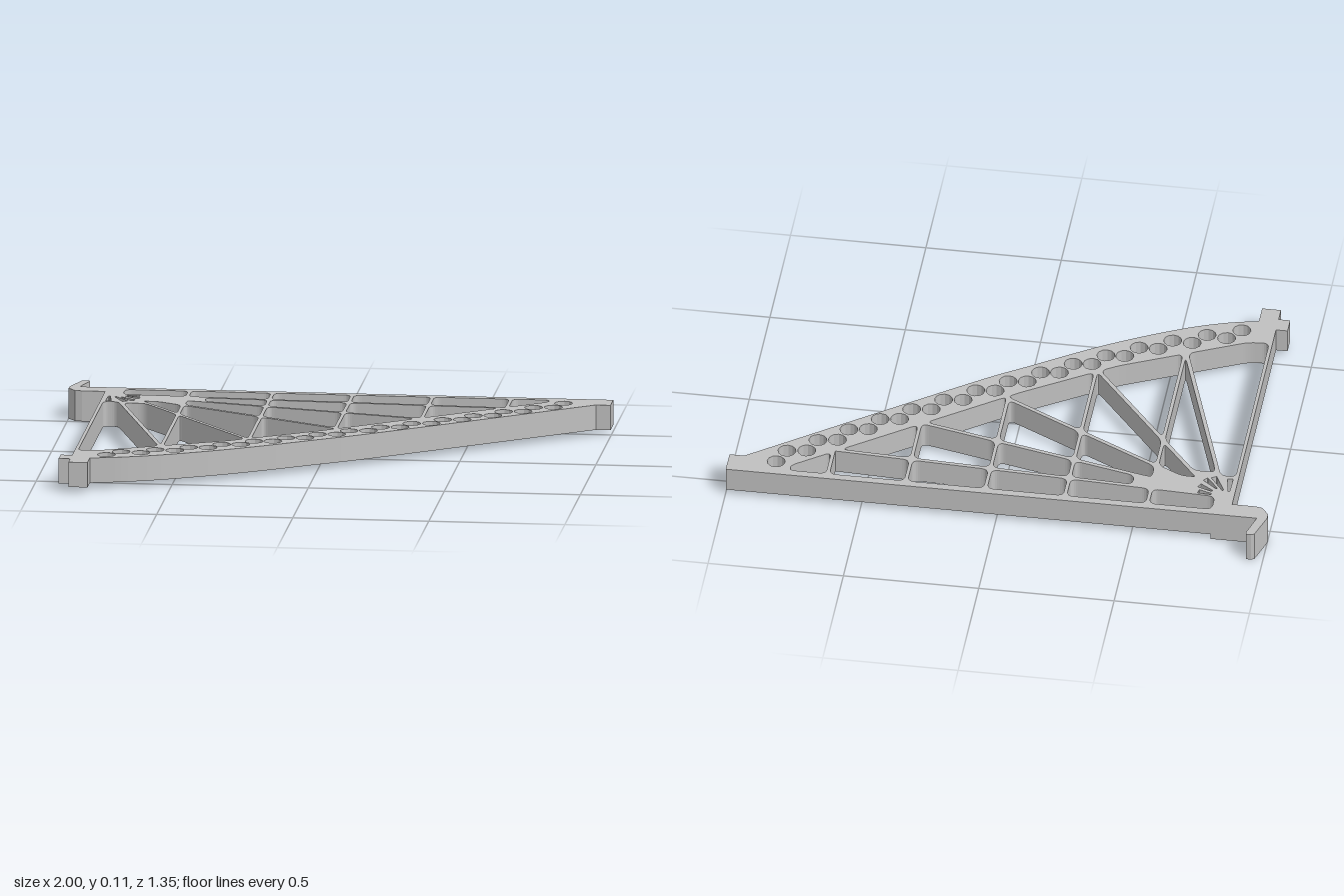
import * as THREE from 'three';

// The plan is drawn on a grid of 187.2 per unit (x right, z down); shape y = -z.
const UNIT = 187.2;
const pt = ([x, z]) => new THREE.Vector2((x - 1134.2) / UNIT, (224 - z) / UNIT);

// Closed hole, wound against the outline, with corners rounded by a setback of r grid units
function rounded(points, r) {
  const path = new THREE.Path();
  const v = points.map(pt).reverse();
  const n = v.length;
  v.forEach((p, i) => {
    const towards = (q) => p.clone().lerp(q, Math.min(r / UNIT / p.distanceTo(q), 0.42));
    const a = towards(v[(i + n - 1) % n]);
    const b = towards(v[(i + 1) % n]);
    if (i === 0) path.moveTo(a.x, a.y);
    else path.lineTo(a.x, a.y);
    path.quadraticCurveTo(p.x, p.y, b.x, b.y);
  });
  path.closePath();
  return path;
}

// Keep the part of a polygon lying beyond a line [x, z, slope] by a margin
function clip(points, [x0, z0, slope], side, margin) {
  const dist = ([x, z]) => side * (z - z0 - slope * (x - x0)) / Math.hypot(1, slope) - margin;
  const kept = [];
  points.forEach((p, i) => {
    const q = points[(i + 1) % points.length];
    const a = dist(p);
    const b = dist(q);
    if (a >= 0) kept.push(p);
    if (a * b < 0) kept.push(p.map((c, k) => c + (q[k] - c) * a / (a - b)));
  });
  return kept;
}

// Windows: columns between straight ribs, cut by the radiating ribs and the beam
function windowPolygons() {
  const columns = [970, 1030.5, 1087.5, 1142.5, 1197.5, 1251.5, 1279];
  const rays = [[990, 137.5, 0.044], [1044, 152.5, 0.235], [1032, 165, 0.535], [1030, 193, 1.27], [987, 160, 3.12]];
  const beam = [[1278, 127, -0.734], [1135, 232, -0.644], [1026, 294, -0.47], [990, 311, -0.1]];
  const rowStarts = [[986, 121.5], [1044, 121.5], [1032, 152], [1003, 156], [991, 163], [975.3, 160]];
  const result = [];
  rowStarts.forEach(([xMin, zMin], row) => {
    for (let c = 0; c < columns.length - 1; c++) {
      const x0 = Math.max(columns[c] + 1.2, xMin);
      const x1 = columns[c + 1] - 1.2;
      if (x0 >= x1) continue;
      let poly = [[x0, zMin], [x1, zMin], [x1, 330], [x0, 330]];
      if (row > 0) poly = clip(poly, rays[row - 1], 1, 1.4);
      if (row < rays.length) poly = clip(poly, rays[row], -1, 1.4);
      beam.forEach((line) => { poly = clip(poly, line, -1, 0); });
      if (poly.length > 2 && Math.abs(THREE.ShapeUtils.area(poly.map(pt))) > 0.001) result.push(poly);
    }
  });
  return result;
}

// Tapered strip running out from the hub: half widths w0 and w1
function spoke(degrees, r0, r1, w0, w1) {
  const a = THREE.MathUtils.degToRad(degrees);
  const at = (r, w) => [977 + r * Math.cos(a) - w * Math.sin(a), 136 + r * Math.sin(a) + w * Math.cos(a)];
  return [at(r0, -w0), at(r1, -w1), at(r1, w1), at(r0, w0)];
}

function slab(shape, bottom, top) {
  const geo = new THREE.ExtrudeGeometry(shape, { depth: top - bottom, bevelEnabled: false, curveSegments: 6 });
  geo.rotateX(-Math.PI / 2);
  geo.translate(0, bottom, 0);
  return geo;
}

export function createModel() {
  const group = new THREE.Group();
  const grey = new THREE.MeshStandardMaterial({ color: 0xc0c0c0 });
  grey.name = 'plain grey';
  const add = (name, geo) => {
    const mesh = new THREE.Mesh(geo, grey);
    mesh.name = name;
    group.add(mesh);
  };

  // Outline of the frame: hook, back rail, curved beam and corner tab
  const hook = [[957, 129], [952, 128], [947, 121.5], [947, 117], [953, 98], [955, 97], [958.5, 97], [959, 99], [954, 116]];
  const curve = new THREE.SplineCurve(
    [[1311, 133], [1175, 234], [1134, 262], [1085, 294], [1040, 318], [1010, 330], [986, 336]].map(pt));
  const tab = [[986, 350.5], [973, 350.5], [973, 340], [965, 340], [965, 328], [973, 328], [973, 129]];
  const frame = new THREE.Shape([
    ...[...hook, [1321.2, 116], [1321.2, 133]].map(pt), ...curve.getPoints(40), ...tab.map(pt),
  ]);

  // Windows between the ribs
  windowPolygons().forEach((poly) => frame.holes.push(rounded(poly, 5)));

  // Narrow slits fanning out of the hub
  [[86, 7, 21], [59, 9, 25], [45, 13, 26], [27, 13, 24], [11, 12, 21.5]].forEach(([angle, r0, r1]) => {
    frame.holes.push(rounded(spoke(angle, r0, r1, 0.6, 2), 0.6));
  });

  // Two staggered rows of round holes along the beam
  const holeLine = new THREE.SplineCurve([[1283, 143], [1206, 202], [1105, 269], [1042, 305], [996, 324]].map(pt));
  holeLine.getSpacedPoints(14).forEach((p, i) => {
    const inner = new THREE.Vector2(p.x + (5.5 + i * 0.25) / UNIT, p.y + (13 - i * 0.2) / UNIT);
    for (const c of [p, inner]) {
      frame.holes.push(new THREE.Path().absarc(c.x, c.y, 6.2 / UNIT, 0, Math.PI * 2, false));
    }
  });
  add('frame', slab(frame, 0.021, 0.114));

  // Foot under the hook and hub
  const foot = new THREE.Shape([...hook, [986, 116], [986, 142], [973, 142], [973, 129]].map(pt));
  add('foot', slab(foot, 0, 0.021));

  // Short ribs continuing the foot between the slits
  [4, 19, 36, 52].forEach((angle, i) => {
    const reach = Math.min(22, 8.5 / Math.sin(THREE.MathUtils.degToRad(angle)));
    const rib = new THREE.Shape(spoke(angle, 6, reach, 0.8, 0.8).map(pt));
    add('fanRib' + (i + 1), slab(rib, 0, 0.021));
  });

  return group;
}
